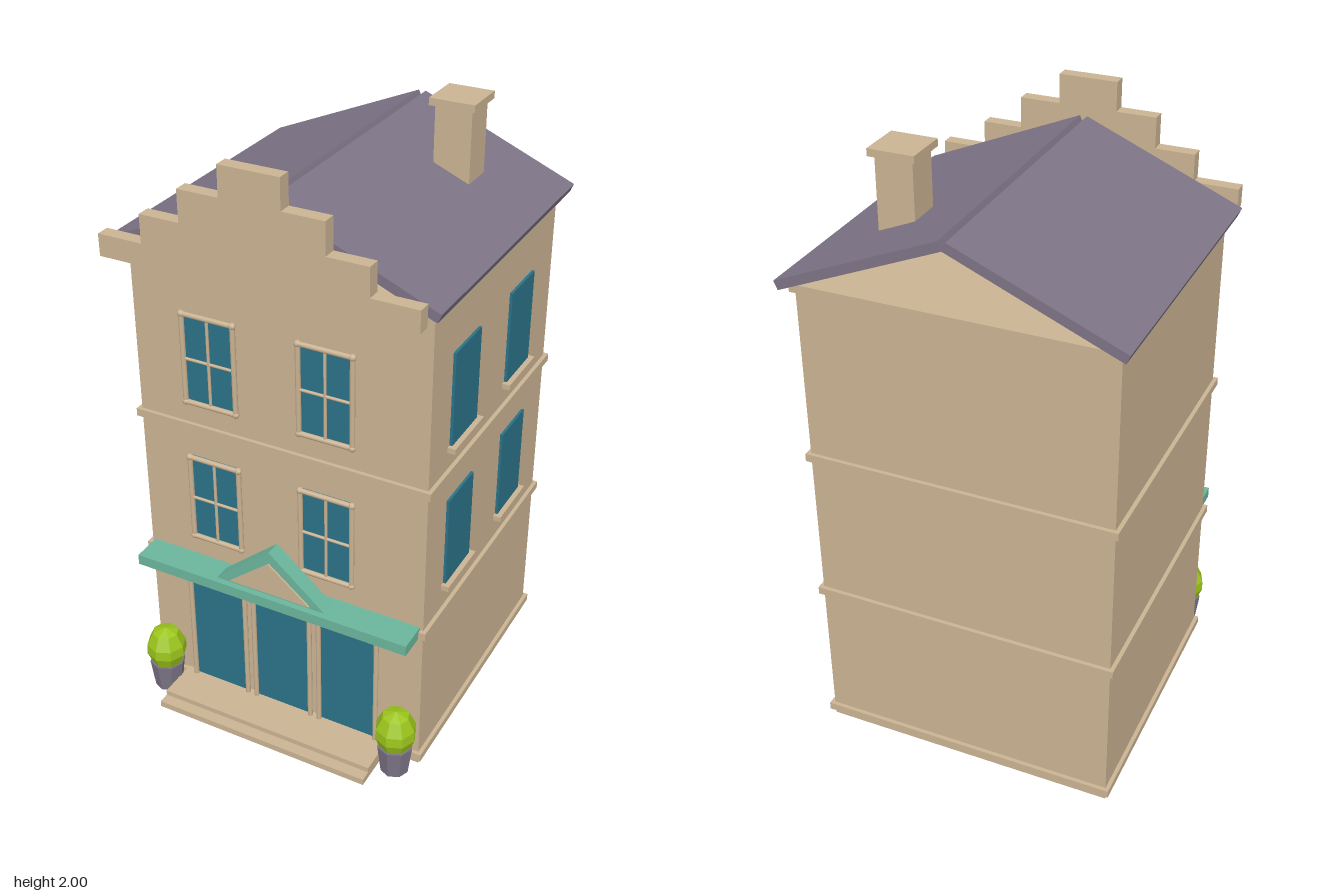
import * as THREE from 'three';

const mat = (name, color) => {
  const m = new THREE.MeshStandardMaterial({ color });
  m.name = name;
  return m;
};

export function createModel() {
  const house = new THREE.Group();
  house.name = 'townHouse';
  const stone = mat('sandstone', 0xcbb393);
  const slate = mat('purple slate', 0x7d7486);
  const glass = mat('blue glass', 0x2a7288);
  const teal = mat('teal paint', 0x6bb59c);
  const leaf = mat('lime leaves', 0x9cc51c);
  leaf.flatShading = slate.flatShading = true;

  const add = (name, geo, material, parent = house) => {
    const m = new THREE.Mesh(geo, material);
    m.name = name;
    parent.add(m);
    return m;
  };
  // Box given by its limits on each axis
  const box = (name, material, [x0, x1], [y0, y1], [z0, z1], parent) => {
    const m = add(name, new THREE.BoxGeometry(x1 - x0, y1 - y0, z1 - z0), material, parent);
    m.position.set((x0 + x1) / 2, (y0 + y1) / 2, (z0 + z1) / 2);
    return m;
  };
  // Outline in x and y, extruded from z0 to z1
  const prism = (name, material, pts, z0, z1, hole) => {
    const s = new THREE.Shape(pts.map(p => new THREE.Vector2(...p)));
    if (hole) s.holes.push(new THREE.Path(hole.map(p => new THREE.Vector2(...p))));
    const g = new THREE.ExtrudeGeometry(s, { depth: z1 - z0, bevelEnabled: false });
    return add(name, g.translate(0, 0, z0), material);
  };

  // Walls and floor bands
  box('walls', stone, [-0.492, 0.492], [0, 1.635], [-0.518, 0.386]);
  for (const y of [0.022, 0.525, 1.04, 1.615])
    box('floorBand', stone, [-0.505, 0.505], [y, y + 0.026], [-0.531, 0.399]);

  // Two roof slabs meeting at their lower edges, over an open attic
  const angle = Math.atan2(0.218, 0.518), slope = Math.hypot(0.218, 0.518);
  for (const side of [-1, 1]) {
    const g = new THREE.BoxGeometry(slope, 0.03, 0.996);
    g.translate(side * slope / 2, 0.015, 0).rotateZ(-side * angle);
    add('roofSlab', g, slate).position.set(0, 1.852, -0.068);
  }

  // Stepped parapet in front of the roof
  const steps = [[0.505, 1.705], [0.358, 1.795], [0.228, 1.895], [0.096, 1.99]];
  const rightSide = [];
  let low = 1.635;
  for (const [x, y] of steps) {
    rightSide.push([x, low], [x, y]);
    low = y;
  }
  const leftSide = rightSide.map(([x, y]) => [-x, y]).reverse();
  prism('steppedParapet', stone, [...rightSide, ...leftSide], 0.464, 0.508);

  // Chimney
  box('chimneyShaft', stone, [0.204, 0.322], [1.74, 1.98], [-0.324, -0.212]);
  box('chimneyCap', stone, [0.19, 0.336], [1.977, 2], [-0.341, -0.196]);

  // Round moulding between two points on the front wall
  const bar = (parent, x0, y0, x1, y1, r) => {
    const g = new THREE.CylinderGeometry(r, r, Math.hypot(x1 - x0, y1 - y0), 8);
    if (y0 === y1) g.rotateZ(Math.PI / 2);
    add('frameBar', g, stone, parent).position.set((x0 + x1) / 2, (y0 + y1) / 2, 0.401);
  };
  // Glazed opening with bars and corner beads
  const opening = (name, cx, halfW, y0, y1, isDoor) => {
    const g = new THREE.Group();
    g.name = name;
    house.add(g);
    const a = cx - halfW, b = cx + halfW, r = 0.0085;
    box('glass', glass, [a, b], [y0, y1], [0.38, 0.394], g);
    for (const x of [a, b]) {
      bar(g, x, y0, x, y1, r);
      for (const y of isDoor ? [y1] : [y0, y1])
        add('cornerBead', new THREE.SphereGeometry(0.0115, 8, 6), stone, g).position.set(x, y, 0.401);
    }
    bar(g, a, y1, b, y1, r);
    if (!isDoor) {
      bar(g, a, y0, b, y0, r);
      bar(g, cx, y0, cx, y1, 0.005);
      bar(g, a, (y0 + y1) / 2, b, (y0 + y1) / 2, 0.005);
    }
  };
  for (const y of [0.645, 1.148]) {
    for (const x of [-0.226, 0.166]) opening('frontWindow', x, 0.088, y, y + 0.3, false);
    // Plain windows with sills, on the left wall only
    for (const z of [0.159, -0.254]) {
      box('sideWindow', glass, [0.485, 0.501], [y - 0.005, y + 0.303], [z - 0.09, z + 0.09]);
      box('windowSill', stone, [0.485, 0.518], [y - 0.022, y - 0.004], [z - 0.104, z + 0.104]);
    }
  }
  for (const x of [-0.239, 0, 0.239]) opening('entranceDoor', x, 0.103, 0.045, 0.494, true);

  // Entrance canopy with pediment
  box('canopy', teal, [-0.482, 0.482], [0.525, 0.561], [0.38, 0.487]);
  const inner = [[-0.142, 0.57], [0.142, 0.57], [0, 0.685]];
  prism('pedimentFrame', teal, [[-0.195, 0.56], [0.195, 0.56], [0, 0.726]], 0.412, 0.466, inner);
  prism('pedimentPanel', stone, inner, 0.412, 0.472);

  // Entrance steps
  box('lowerStep', stone, [-0.383, 0.383], [0.01, 0.032], [0.38, 0.565]);
  box('upperStep', stone, [-0.383, 0.383], [0.032, 0.05], [0.38, 0.528]);

  // Potted shrubs beside the entrance
  const profile = [[0, 0.1], [0.05, 0.1], [0.068, 0.145], [0.066, 0.18], [0.044, 0.225], [0, 0.24]];
  for (const side of [-1, 1]) {
    const g = new THREE.Group();
    g.name = 'pottedShrub';
    g.position.set(side * 0.433, 0, 0.439);
    house.add(g);
    add('pot', new THREE.CylinderGeometry(0.06, 0.047, 0.106, 8), slate, g).position.y = 0.053;
    add('shrub', new THREE.LatheGeometry(profile.map(p => new THREE.Vector2(...p)), 8), leaf, g);
  }
  return house;
}
